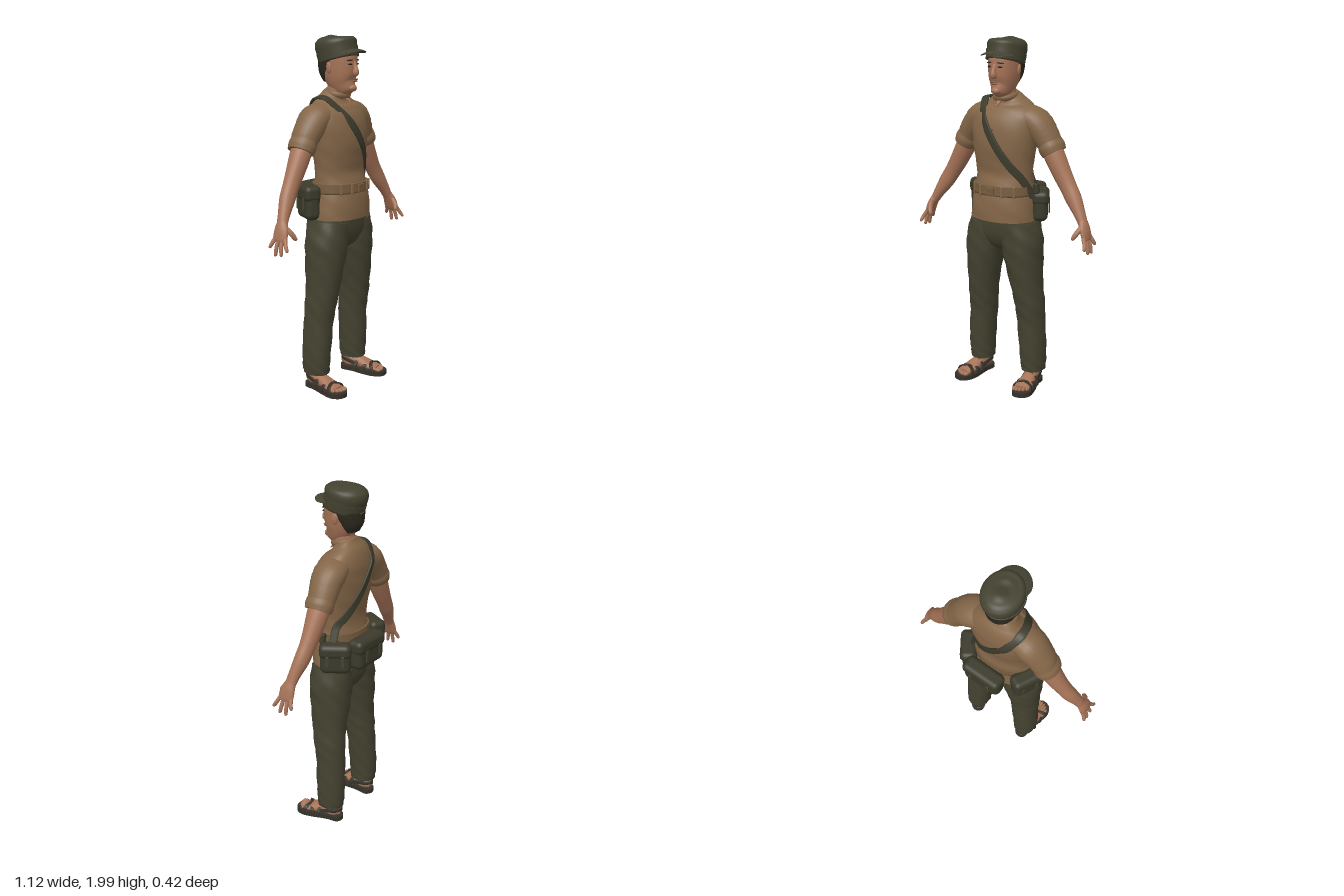
import * as THREE from 'three';
import { RoundedBoxGeometry } from 'three/addons/geometries/RoundedBoxGeometry.js';

const V = (x, y, z) => new THREE.Vector3(x, y, z);
const mat = (name, color) => Object.assign(new THREE.MeshStandardMaterial({ color }), { name });
const M = {
  skin: mat('skin', 0xa67357), shirt: mat('shirt cloth', 0x846648), belt: mat('belt leather', 0x745a3e),
  olive: mat('olive cloth', 0x444230), gear: mat('olive canvas', 0x3b3a2b), hair: mat('hair', 0x2c291e),
  sandal: mat('sandal rubber', 0x35312a), lips: mat('lips', 0x8d5a47), eye: mat('eye', 0x2a2019),
};

// Smooth body through cross-sections [x, y, z, halfWidth, halfDepth]; the depth axis follows ref
function sweep(rows, { ref = V(0, 0, 1), n = 2, seg = 24, steps = 5, fold = 0 } = {}) {
  const path = new THREE.CatmullRomCurve3(rows.map(r => V(r[0], r[1], r[2])), false, 'catmullrom');
  const size = new THREE.CatmullRomCurve3(rows.map(r => V(r[3], r[4], 0)), false, 'catmullrom');
  const N = (rows.length - 1) * steps, pos = [], idx = [];
  const sp = v => Math.sign(v) * Math.pow(Math.abs(v), 2 / n);
  for (let i = 0; i <= N; i++) {
    const t = i / N, c = path.getPoint(t), s = size.getPoint(t), T = path.getTangent(t);
    const B = (typeof ref === 'function' ? ref(c) : ref.clone());
    B.addScaledVector(T, -B.dot(T)).normalize();
    const A = B.clone().cross(T);
    for (let j = 0; j < seg; j++) {
      const q = j / seg * Math.PI * 2;
      const k = 1 + fold * Math.sin(3 * q + 19 * t) * Math.sin(31 * t + 2 * q);
      const p = c.clone().addScaledVector(A, s.x * k * sp(Math.cos(q))).addScaledVector(B, s.y * k * sp(Math.sin(q)));
      pos.push(p.x, p.y, p.z);
      if (i < N) {
        const a = i * seg + j, b = i * seg + (j + 1) % seg;
        idx.push(a, b, b + seg, a, b + seg, a + seg);
      }
    }
  }
  // flat end caps with their own vertices
  for (const end of [0, N]) {
    const base = pos.length / 3, c = path.getPoint(end / N);
    pos.push(...pos.slice(end * seg * 3, (end + 1) * seg * 3), c.x, c.y, c.z);
    for (let j = 0; j < seg; j++) {
      const a = base + j, b = base + (j + 1) % seg;
      end ? idx.push(a, b, base + seg) : idx.push(b, a, base + seg);
    }
  }
  const g = new THREE.BufferGeometry();
  g.setAttribute('position', new THREE.Float32BufferAttribute(pos, 3));
  g.setIndex(idx);
  g.computeVertexNormals();
  return g;
}

function add(parent, name, geo, material, p = [0, 0, 0], r = [0, 0, 0], s = [1, 1, 1]) {
  const m = new THREE.Mesh(geo, material);
  m.name = name;
  m.position.set(...p); m.rotation.set(...r); m.scale.set(...s);
  parent.add(m);
  return m;
}
const ball = new THREE.SphereGeometry(1, 18, 12);
const mirror = (rows, s) => rows.map(r => [r[0] * s, ...r.slice(1)]);

const TORSO = [
  [0, 0.99, .025, .195, .14], [0, 1.06, .025, .19, .14], [0, 1.13, .022, .18, .135], [0, 1.19, .02, .17, .122],
  [0, 1.25, .018, .17, .11], [0, 1.32, .018, .177, .118], [0, 1.4, .015, .19, .13], [0, 1.5, .005, .205, .13],
  [0, 1.57, -.01, .203, .115], [0, 1.62, -.015, .16, .095], [0, 1.655, -.008, .105, .073], [0, 1.68, .004, .066, .062],
];
// Depth of the shirt surface at x, y on the front (1) or back (-1)
function shirtZ(x, y, side) {
  let i = 0;
  while (i < TORSO.length - 2 && TORSO[i + 1][1] < y) i++;
  const a = TORSO[i], b = TORSO[i + 1], f = (y - a[1]) / (b[1] - a[1]);
  const L = k => a[k] + (b[k] - a[k]) * f;
  return L(2) + side * (L(4) * Math.sqrt(Math.max(0, 1 - (x / L(3)) ** 2)) + .006);
}

// Canvas pouch facing local +z
function pouch(parent, name, p, ry, w, h, d) {
  const g = new THREE.Group();
  g.name = name; g.position.set(...p); g.rotation.y = ry;
  parent.add(g);
  add(g, 'pouchBody', new RoundedBoxGeometry(w, h, d, 4, .034), M.gear);
  add(g, 'pouchFlap', new RoundedBoxGeometry(w + .008, h * .48, d + .01, 3, .03), M.gear, [0, h * .28, .003]);
  for (const x of [-w * .25, w * .25]) {
    add(g, 'pouchTab', new RoundedBoxGeometry(.018, h * .4, .008, 2, .003), M.olive, [x, -.005, d / 2 + .007]);
  }
}

function buildHead(g) {
  add(g, 'neck', sweep([[0, 1.6, -.01, .065, .06], [0, 1.68, .004, .056, .06], [0, 1.76, .012, .055, .062]]), M.skin);
  add(g, 'head', sweep([
    [0, 1.676, .088, .015, .02], [0, 1.69, .078, .04, .045], [0, 1.72, .05, .06, .073], [0, 1.76, .03, .074, .094],
    [0, 1.82, .012, .083, .11], [0, 1.88, .002, .085, .113], [0, 1.94, 0, .07, .095]], { seg: 32, n: 2.15 }), M.skin);
  add(g, 'nose', sweep([[0, 1.85, .112, .01, .008], [0, 1.82, .12, .011, .014], [0, 1.79, .124, .017, .021],
    [0, 1.777, .116, .013, .012]], { seg: 14 }), M.skin);
  add(g, 'upperLip', ball, M.lips, [0, 1.753, .122], [0, 0, 0], [.024, .005, .008]);
  add(g, 'lowerLip', ball, M.lips, [0, 1.743, .12], [0, 0, 0], [.02, .006, .008]);
  add(g, 'chin', ball, M.skin, [0, 1.705, .102], [0, 0, 0], [.028, .02, .024]);
  for (const s of [1, -1]) {
    add(g, 'eye', ball, M.eye, [.035 * s, 1.834, .113], [0, .3 * s, 0], [.014, .005, .005]);
    add(g, 'eyebrow', ball, M.hair, [.037 * s, 1.855, .112], [0, .35 * s, -.1 * s], [.021, .004, .005]);
    add(g, 'ear', ball, M.skin, [.088 * s, 1.815, .008], [-.15, .3 * s, 0], [.009, .032, .019]);
  }
  add(g, 'hair', sweep([[0, 1.735, -.045, .045, .04], [0, 1.77, -.038, .068, .066], [0, 1.83, -.03, .088, .08],
    [0, 1.9, -.01, .097, .105]]), M.hair);
  // fringe locks under the brim
  for (let i = 0; i < 9; i++) {
    const q = (i - 4) * .27;
    add(g, 'fringeLock', ball, M.hair, [.084 * Math.sin(q), 1.887 + .006 * Math.sin(i * 2.3), .002 + .108 * Math.cos(q)],
      [0, q, .35 * Math.cos(i * 1.7)], [.013, .026, .006]);
  }
}

function buildCap(g) {
  const cap = new THREE.Group();
  cap.name = 'cap'; cap.position.set(0, 1.886, .004); cap.rotation.x = -.25;
  g.add(cap);
  add(cap, 'capCrown', sweep([[0, -.03, 0, .1, .114], [0, .02, 0, .104, .118], [0, .058, 0, .106, .121],
    [0, .083, .002, .093, .106], [0, .095, .004, .055, .065], [0, .098, .005, .003, .003]], { seg: 36 }), M.olive);
  add(cap, 'capBand', sweep([[0, -.034, 0, .102, .117], [0, .018, 0, .107, .121]], { seg: 36 }), M.olive);
  // brim: flattened disc bent down at the sides
  const brim = new THREE.SphereGeometry(1, 32, 12).scale(.096, .008, .09), p = brim.attributes.position;
  for (let i = 0; i < p.count; i++) p.setY(i, p.getY(i) - 2.6 * p.getX(i) ** 2 - .12 * p.getZ(i));
  brim.computeVertexNormals();
  add(g, 'capBrim', brim, M.olive, [0, 1.915, .082]);
}

function buildArm(g, s) {
  const part = (name, rows, m, o) => add(g, name, sweep(mirror(rows, s), o), m);
  part('sleeve', [[.09, 1.575, -.015, .058, .085], [.175, 1.545, -.018, .075, .093], [.235, 1.475, -.024, .074, .083],
    [.285, 1.395, -.025, .062, .072]], M.shirt, { fold: .03, steps: 8 });
  part('sleeveCuff', [[.266, 1.432, -.025, .067, .076], [.28, 1.405, -.025, .072, .08], [.296, 1.378, -.025, .066, .075]], M.shirt);
  part('arm', [[.25, 1.45, -.025, .05, .055], [.29, 1.375, -.025, .057, .06], [.345, 1.275, -.022, .053, .05],
    [.388, 1.205, -.018, .048, .043], [.43, 1.14, -.01, .045, .041], [.475, 1.07, .005, .032, .033],
    [.503, 1.02, .014, .024, .031]], M.skin);
  part('palm', [[.498, 1.035, .012, .024, .03], [.517, .995, .02, .022, .043], [.532, .95, .024, .016, .046],
    [.537, .935, .024, .01, .04]], M.skin);
  [[.058, .087, .892], [.035, .048, .866], [.012, .01, .862], [-.01, -.026, .9]].forEach(([z0, z1, y]) =>
    part('finger', [[.53, .955, z0, .011, .011], [.546, (.955 + y) / 2, (z0 + z1) / 2, .011, .011],
      [.553, y + .008, z1, .009, .009], [.553, y, z1, .003, .003]], M.skin, { seg: 10 }));
  part('thumb', [[.513, 1.015, .035, .014, .014], [.497, .98, .07, .014, .014], [.482, .952, .085, .011, .011],
    [.477, .942, .088, .004, .004]], M.skin, { seg: 10, ref: V(0, .4, 1) });
}

function buildLeg(g, s) {
  add(g, 'trouserLeg', sweep(mirror([[.105, .97, .014, .1, .12], [.119, .86, .014, .115, .119], [.133, .75, .015, .103, .113],
    [.15, .6, .012, .085, .098], [.16, .5, .001, .081, .091], [.165, .4, -.01, .077, .084], [.175, .25, -.013, .074, .083],
    [.178, .15, -.014, .07, .08], [.178, .095, -.014, .065, .075]], s), { n: 2.2, fold: .04, steps: 8, seg: 30 }), M.olive);
  const f = new THREE.Group();
  f.name = 'foot'; f.position.set(.18 * s, 0, 0); f.rotation.y = .15 * s;
  g.add(f);
  // sole outline
  const outline = [[0, -.09], [.038, -.07], [.042, 0], [.058, .09], [.058, .15], [.03, .2], [-.025, .2], [-.056, .16], [-.054, .09], [-.038, 0], [-.036, -.07]];
  const curve = new THREE.CatmullRomCurve3(outline.map(([x, z]) => V(-x * s, z, 0)), true);
  const sole = new THREE.ExtrudeGeometry(new THREE.Shape(curve.getPoints(48).map(p => new THREE.Vector2(p.x, p.y))),
    { depth: .026, bevelEnabled: false });
  add(f, 'sandalSole', sole.rotateX(Math.PI / 2), M.sandal, [0, .026, 0]);
  add(f, 'footBody', sweep([[0, .045, -.078, .02, .015], [0, .055, -.06, .034, .033], [0, .062, -.02, .037, .042],
    [0, .056, .04, .04, .036], [0, .045, .1, .048, .024], [0, .036, .155, .046, .014]], { ref: V(0, 1, 0) }), M.skin);
  add(f, 'ankle', sweep([[0, .04, -.03, .036, .042], [0, .09, -.024, .036, .042], [0, .16, -.015, .04, .044]]), M.skin);
  for (let i = 0; i < 5; i++) {
    add(f, 'toe', ball, M.skin, [(-.036 + i * .018) * s, .036, .172 - .006 * (i - 1) ** 2 * .5], [0, 0, 0],
      [i ? .009 : .013, .011, .022]);
  }
  // crossed toe straps, instep strap and heel strap
  const strap = (name, pts, ref) => add(f, name, sweep(pts.map(p => [...p, .011, .004]), { ref, n: 4, seg: 12 }), M.sandal);
  const over = c => V(c.x, c.y - .015, 0);
  for (const [z0, z1, h] of [[.075, .145, .063], [.145, .075, .064], [.02, .05, .094]]) {
    const zm = (z0 + z1) / 2;
    strap('sandalStrap', [[-.056, .02, z0], [-.046, .052, z0 * .8 + z1 * .2], [0, h, zm], [.046, .052, z1 * .8 + z0 * .2], [.056, .02, z1]], over);
  }
  strap('heelStrap', [[-.046, .05, .04], [-.043, .065, -.02], [-.03, .07, -.065], [0, .072, -.084], [.03, .07, -.065],
    [.043, .065, -.02], [.046, .05, .04]], c => V(c.x, 0, c.z + .02));
}

export function createModel() {
  const g = new THREE.Group();
  g.name = 'standingMan';
  buildHead(g);
  buildCap(g);
  add(g, 'shirt', sweep(TORSO, { n: 2.15, seg: 40, fold: .012 }), M.shirt);
  add(g, 'collar', new THREE.TorusGeometry(.062, .011, 10, 32), M.shirt, [0, 1.676, .004], [Math.PI / 2 + .22, 0, 0], [1, 1.02, 1.5]);
  // shirt opening: skin notch, placket and buttons
  const notch = new THREE.Shape([new THREE.Vector2(-.018, .028), new THREE.Vector2(0, -.028), new THREE.Vector2(.018, .028)]);
  add(g, 'neckOpening', new THREE.ExtrudeGeometry(notch, { depth: .006, bevelEnabled: false }), M.skin, [0, 1.638, .074], [-.75, 0, 0]);
  for (const y of [1.58, 1.5]) add(g, 'button', ball, M.belt, [0, y, shirtZ(0, y, 1) - .002], [0, 0, 0], [.007, .007, .004]);

  // belt with loops and buckle
  add(g, 'belt', sweep([[0, 1.135, .023, .184, .141], [0, 1.188, .023, .18, .137]], { n: 2.1, seg: 40 }), M.belt);
  for (const x of [-.13, -.07, .07, .13]) {
    add(g, 'beltLoop', new RoundedBoxGeometry(.014, .064, .012, 2, .004), M.shirt,
      [x, 1.161, .023 + .142 * Math.sqrt(1 - (x / .184) ** 2)], [0, x * 4, 0]);
  }
  add(g, 'buckle', new RoundedBoxGeometry(.05, .046, .012, 2, .004), M.belt, [0, 1.161, .164]);

  add(g, 'trouserSeat', sweep([[0, 1.05, .015, .18, .12], [0, .98, .015, .192, .125], [0, .9, .014, .205, .118],
    [0, .84, .014, .13, .09], [0, .81, .014, .05, .05]], { n: 2.3, seg: 32 }), M.olive);
  for (const s of [1, -1]) { buildArm(g, s); buildLeg(g, s); }

  // cross-body strap from the right shoulder to the left hip
  const line = (xs, side) => xs.map(x => {
    const y = 1.63 - (x + .125) * 1.45;
    return [x, y, shirtZ(x, y, side)];
  });
  const loop = [[.19, 1.13, .02], ...line([.155, .11, .06, .01, -.04, -.085], 1), [-.122, 1.645, .03], [-.13, 1.658, -.015],
    [-.122, 1.643, -.065], ...line([-.085, -.04, .01, .06, .11, .15], -1), [.185, 1.14, -.04]];
  add(g, 'shoulderStrap', sweep(loop.map(p => [...p, .022, .007]),
    { ref: c => V(c.x * .6, Math.max(0, c.y - 1.55) * 3, c.z), n: 4, seg: 16 }), M.gear);
  add(g, 'strapBuckle', new RoundedBoxGeometry(.03, .06, .03, 2, .008), M.gear, [.205, 1.175, .01], [0, 0, .15]);

  // pouches around the hips
  pouch(g, 'leftPouch', [.188, 1.07, -.06], 2.1, .17, .17, .085);
  pouch(g, 'rightPouch', [-.183, 1.085, -.06], -2.1, .17, .19, .085);
  pouch(g, 'backPouch', [.03, 1.085, -.158], Math.PI - .06, .235, .17, .088);
  return g;
}
